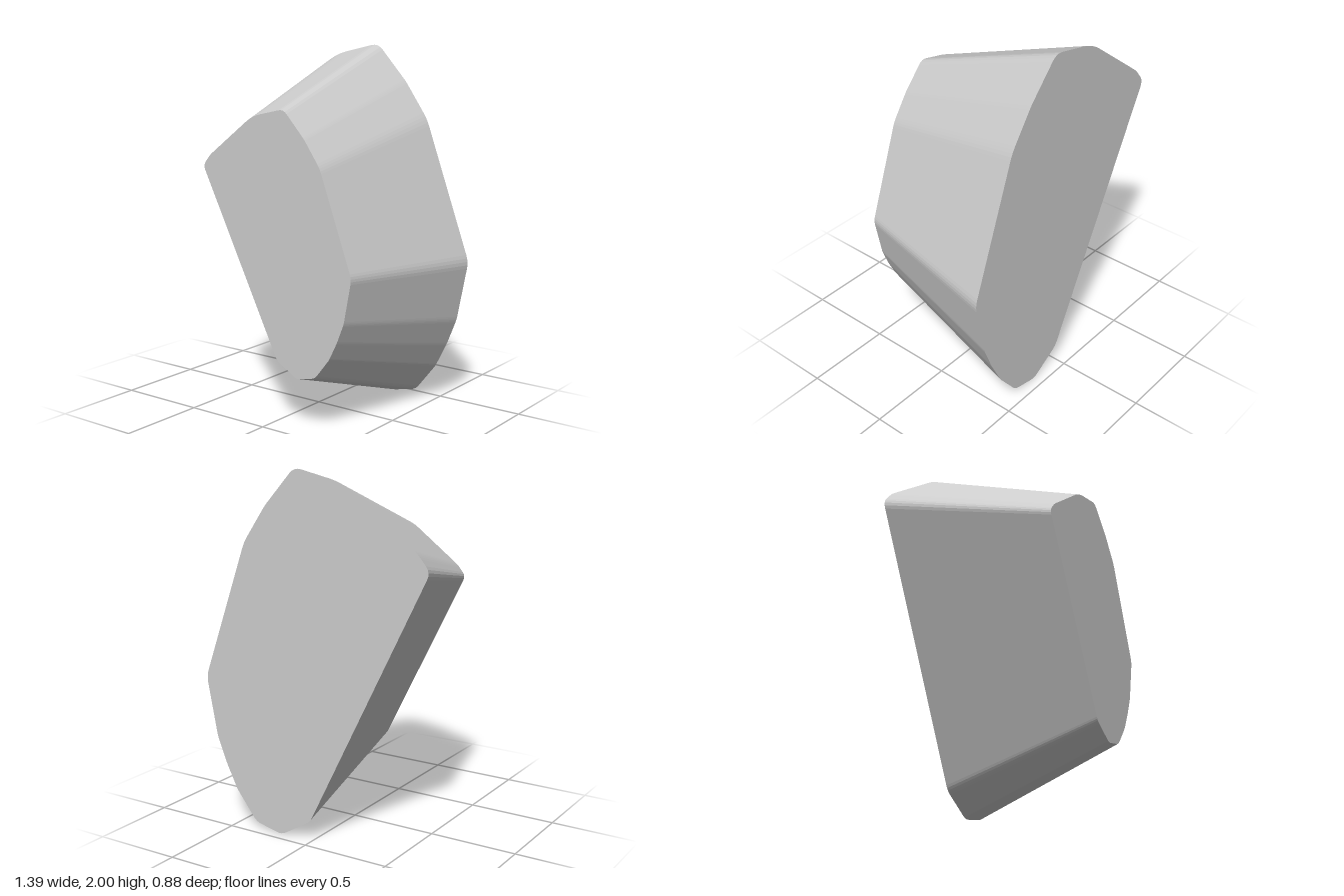
import * as THREE from 'three';

// Back outline corners, anticlockwise: x, y, length trimmed for rounding
const CORNERS = [
  [0.01, 0.11, 0.03], [0.20, -0.003, 0.03], [0.37, 0.035, 0.03], [0.50, 0.20, 0.015],
  [0.57, 0.34, 0.015], [0.63, 0.49, 0.02], [0.696, 0.83, 0.04], [0.415, 1.60, 0.04],
  [0.275, 1.80, 0.02], [0.085, 2.007, 0.045], [-0.21, 1.943, 0.08], [-0.635, 1.625, 0.03],
  [-0.705, 1.54, 0.04],
];
const DEPTH = 0.88;

// Polygon with each corner softened by a short curve
function roundedOutline(corners) {
  const points = corners.map(([x, y]) => new THREE.Vector2(x, y));
  const shape = new THREE.Shape();
  points.forEach((p, i) => {
    const trim = corners[i][2];
    const toward = (q) => q.clone().sub(p).setLength(trim).add(p);
    const a = toward(points[(i + points.length - 1) % points.length]);
    const b = toward(points[(i + 1) % points.length]);
    if (i === 0) shape.moveTo(a.x, a.y);
    else shape.lineTo(a.x, a.y);
    shape.quadraticCurveTo(p.x, p.y, b.x, b.y);
  });
  shape.closePath();
  return shape;
}

export function createModel() {
  const stone = new THREE.MeshStandardMaterial({ color: 0xcccccc });
  stone.name = 'light grey';

  const geometry = new THREE.ExtrudeGeometry(roundedOutline(CORNERS), {
    depth: DEPTH, bevelEnabled: false, curveSegments: 4,
  });

  // Taper toward the front face, which is 70% of the back
  const pos = geometry.attributes.position;
  for (let i = 0; i < pos.count; i++) {
    const t = pos.getZ(i) / DEPTH;
    const scale = 1 - 0.3 * t;
    pos.setXYZ(i,
      pos.getX(i) * scale + 0.045 * t,
      pos.getY(i) * scale + 0.29 * t,
      pos.getZ(i) - DEPTH / 2);
  }
  geometry.computeVertexNormals();

  const block = new THREE.Mesh(geometry, stone);
  block.name = 'taperedBlock';
  const model = new THREE.Group();
  model.name = 'taperedStone';
  model.add(block);
  return model;
}
